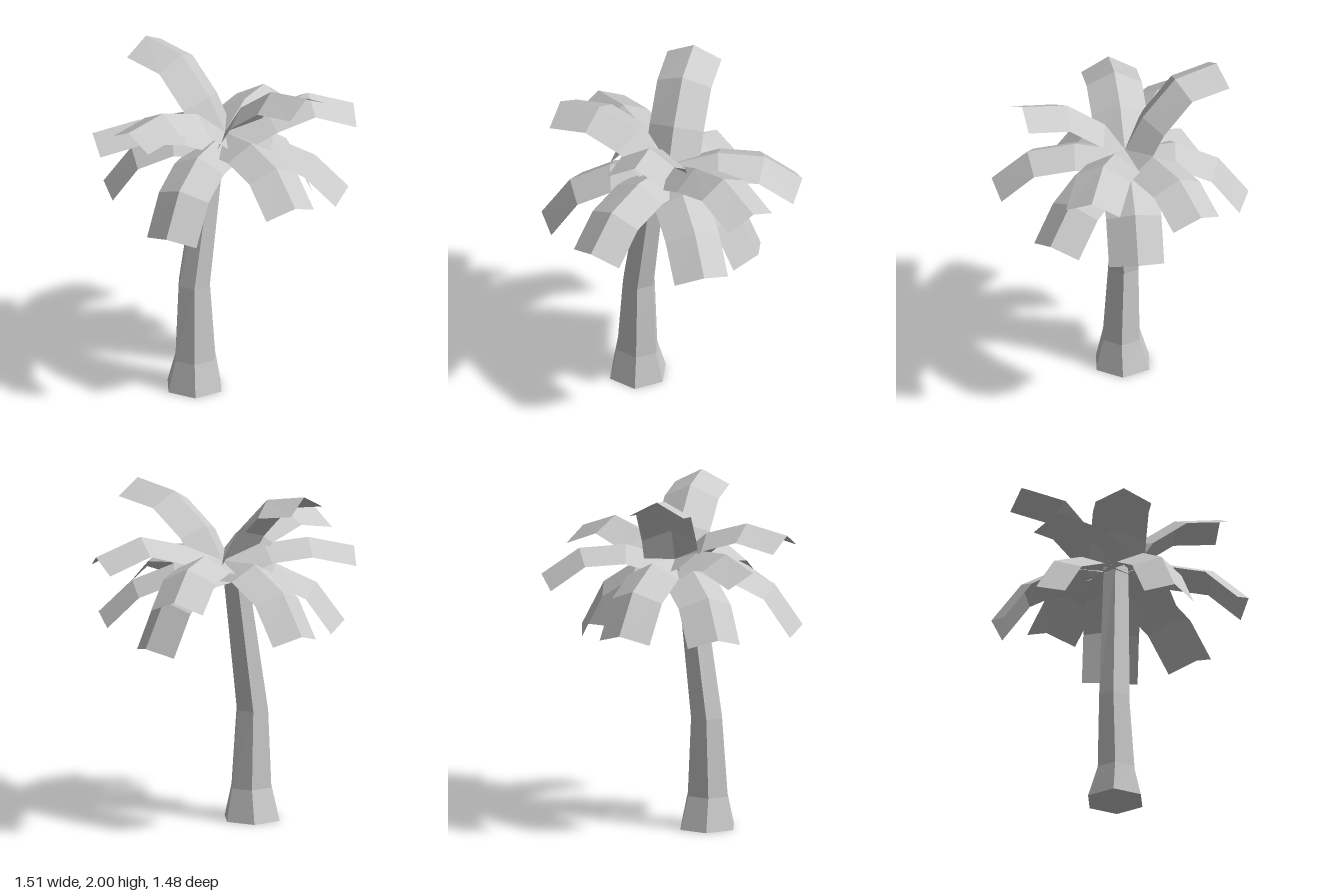
import * as THREE from 'three';

const material = new THREE.MeshStandardMaterial({ color: 0xcccccc, flatShading: true, side: THREE.DoubleSide });
const CROWN = new THREE.Vector3(-0.005, 1.55, -0.03);

// Hexagonal trunk: a cylinder whose rings are moved to [centre x, y, centre z, radius x, radius z]
function makeTrunk() {
  const rings = [
    [-0.217, 0, -0.02, 0.175, 0.175],
    [-0.217, 0.19, -0.013, 0.135, 0.12],
    [-0.215, 0.65, -0.025, 0.103, 0.098],
    [-0.09, 1.53, -0.022, 0.075, 0.08],
  ];
  const geometry = new THREE.CylinderGeometry(1, 1, 3, 6, 3, false, Math.PI / 6);
  const pos = geometry.attributes.position;
  for (let i = 0; i < pos.count; i++) {
    const [cx, y, cz, rx, rz] = rings[Math.round(pos.getY(i) + 1.5)];
    pos.setXYZ(i, cx + pos.getX(i) * rx, y, cz + pos.getZ(i) * rz);
  }
  geometry.computeVertexNormals();
  const trunk = new THREE.Mesh(geometry, material);
  trunk.name = 'trunk';
  return trunk;
}

// Frond: a ridge of [reach, y] points with a folded blade falling to each side
function makeFrond(dx, dz, ridge) {
  const out = new THREE.Vector3(dx, 0, dz).normalize();
  const side = new THREE.Vector3(out.z, 0, -out.x);
  const at = ([r, y]) => CROWN.clone().addScaledVector(out, r).setY(y);
  const points = [CROWN, ...ridge.map(at)];
  const positions = [];
  points.forEach((p, i) => {
    const before = points[Math.max(i - 1, 0)];
    const after = points[Math.min(i + 1, points.length - 1)];
    const normal = after.clone().sub(before).normalize().cross(side);
    for (const s of [-1, 0, 1]) {
      const v = p.clone().addScaledVector(side, s * 0.16);
      v.addScaledVector(normal, -Math.abs(s) * 0.085);
      positions.push(v.x, v.y, v.z);
    }
  });
  const index = [];
  for (let i = 0; i < points.length - 1; i++) {
    for (let k = 0; k < 2; k++) {
      const a = i * 3 + k, b = a + 1, c = a + 3, d = a + 4;
      index.push(a, b, c, b, d, c);
    }
  }
  const geometry = new THREE.BufferGeometry();
  geometry.setAttribute('position', new THREE.Float32BufferAttribute(positions, 3));
  geometry.setIndex(index);
  geometry.computeVertexNormals();
  return new THREE.Mesh(geometry, material);
}

export function createModel() {
  const model = new THREE.Group();
  model.name = 'palmTree';
  model.add(makeTrunk());

  // Direction x, direction z, then three ridge points
  const tiers = {
    upperFrond: [
      [-0.205, -0.53, [[0.11, 1.74], [0.31, 1.95], [0.567, 2.0]]],
      [0.185, 0.59, [[0.12, 1.74], [0.35, 1.91], [0.62, 1.95]]],
    ],
    middleFrond: [
      [-0.7, 0.085, [[0.2, 1.72], [0.455, 1.8], [0.71, 1.75]]],
      [-0.71, -0.295, [[0.24, 1.64], [0.5, 1.665], [0.77, 1.6]]],
      [0.745, 0.2, [[0.24, 1.66], [0.5, 1.73], [0.77, 1.63]]],
      [0.635, -0.43, [[0.28, 1.64], [0.55, 1.62], [0.767, 1.47]]],
      [0, 0.755, [[0.29, 1.59], [0.56, 1.54], [0.765, 1.365]]],
    ],
    lowerFrond: [
      [-0.065, -0.71, [[0.29, 1.58], [0.54, 1.46], [0.713, 1.23]]],
      [-0.63, 0.375, [[0.34, 1.53], [0.57, 1.41], [0.733, 1.17]]],
      [0.565, 0.435, [[0.28, 1.53], [0.52, 1.43], [0.713, 1.24]]],
      [0.58, -0.07, [[0.23, 1.53], [0.45, 1.38], [0.588, 1.12]]],
      [-0.555, -0.425, [[0.3, 1.54], [0.54, 1.43], [0.7, 1.21]]],
    ],
  };
  for (const [name, fronds] of Object.entries(tiers)) {
    fronds.forEach(([dx, dz, ridge], i) => {
      const frond = makeFrond(dx, dz, ridge);
      frond.name = name + (i + 1);
      model.add(frond);
    });
  }
  return model;
}
